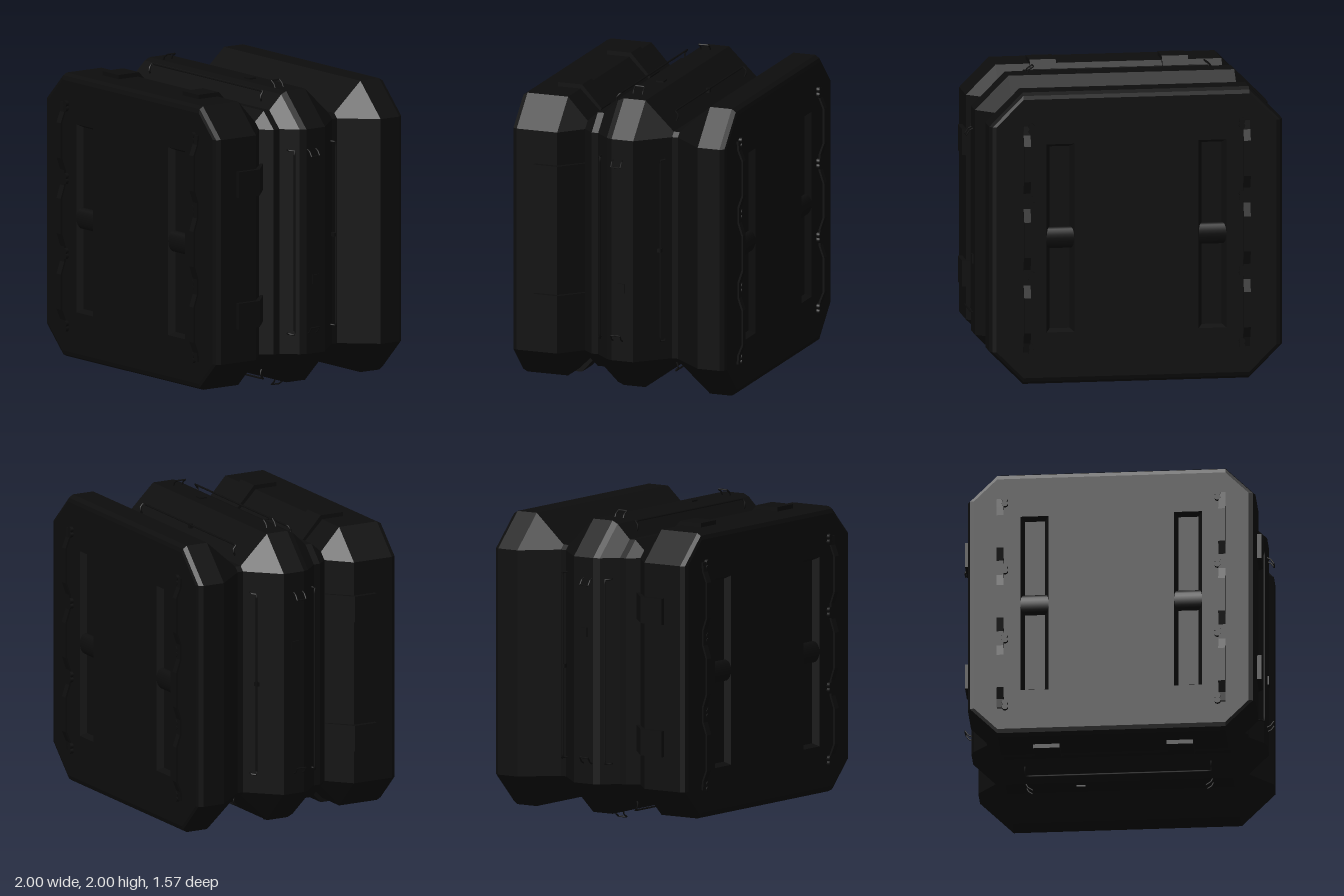
import * as THREE from 'three';

const C = 0.735; // where the cut corners of the octagon begin

const octagon = (r) => [[r, -C], [r, C], [C, r], [-C, r], [-r, C], [-r, -C], [-C, -r], [C, -r]];
const rectangle = (cx, hx, hy) => [[cx - hx, -hy], [cx + hx, -hy], [cx + hx, hy], [cx - hx, hy]];

// Flat-shaded skin through rings of { z, pts }, counter-clockwise seen from +z
function loft(rings) {
  const pos = [];
  for (let i = 0; i < rings.length - 1; i++) {
    const A = rings[i], B = rings[i + 1], n = A.pts.length;
    for (let j = 0; j < n; j++) {
      const k = (j + 1) % n;
      const a = [...A.pts[j], A.z], b = [...A.pts[k], A.z];
      const c = [...B.pts[k], B.z], d = [...B.pts[j], B.z];
      pos.push(...a, ...b, ...c, ...a, ...c, ...d);
    }
  }
  const g = new THREE.BufferGeometry();
  g.setAttribute('position', new THREE.Float32BufferAttribute(pos, 3));
  g.computeVertexNormals();
  return g;
}

// Profile given as [z, y], extruded along x and centred on x = 0
function extrudeX(pts, width) {
  const shape = new THREE.Shape(pts.map(([z, y]) => new THREE.Vector2(z, y)));
  const g = new THREE.ExtrudeGeometry(shape, { depth: width, bevelEnabled: false });
  return g.translate(0, 0, -width / 2).rotateY(-Math.PI / 2);
}

// Thin bent wire through [x, y, z] points
function wire(pts, radius) {
  const path = new THREE.CurvePath();
  const v = pts.map((p) => new THREE.Vector3(...p));
  for (let i = 0; i < v.length - 1; i++) path.add(new THREE.LineCurve3(v[i], v[i + 1]));
  return new THREE.TubeGeometry(path, 48, radius, 6);
}

export function createModel() {
  const black = new THREE.MeshStandardMaterial({ color: 0x0d0d0d });
  black.name = 'black';

  const model = new THREE.Group();
  model.name = 'crate';
  const centre = new THREE.Group();
  centre.name = 'crateParts';
  centre.position.y = 1;
  model.add(centre);

  const add = (parent, name, geometry, x = 0, y = 0, z = 0) => {
    const m = new THREE.Mesh(geometry, black);
    m.name = name;
    m.position.set(x, y, z);
    parent.add(m);
    return m;
  };

  // Ribbed body: [z, half size] from back to front
  const profile = [
    [-0.74, 0.91], [-0.733, 0.935], [-0.705, 0.953], [-0.555, 0.953], [-0.345, 0.765],
    [-0.305, 0.765], [-0.11, 0.953], [0.04, 0.953], [0.08, 0.935], [0.175, 0.843],
    [0.22, 0.843], [0.29, 0.78], [0.425, 0.927], [0.705, 0.927], [0.733, 0.912], [0.74, 0.885],
  ];
  add(centre, 'body', loft(profile.map(([z, r]) => ({ z, pts: octagon(r) }))));

  // Front and back ends with pockets, grips and side straps
  const strapPath = [
    [0.752, 0.74], [0.757, 0.68], [0.785, 0.61], [0.785, 0.38], [0.757, 0.3], [0.757, 0.2],
    [0.785, 0.115], [0.785, -0.115], [0.757, -0.2], [0.757, -0.3], [0.785, -0.38],
    [0.785, -0.61], [0.757, -0.68], [0.752, -0.74],
  ];
  const strapOutline = [...strapPath, ...strapPath.map(([z, y]) => [z - 0.013, y]).reverse()];

  function addEnd(name, r, angle) {
    const end = new THREE.Group();
    end.name = name;
    end.rotation.y = angle;
    centre.add(end);

    const face = new THREE.Shape(octagon(r).map((p) => new THREE.Vector2(...p)));
    for (const s of [-1, 1]) {
      const mouth = rectangle(s * 0.495, 0.09, 0.615);
      face.holes.push(new THREE.Path(mouth.map((p) => new THREE.Vector2(...p))));
      add(end, 'pocketWalls', loft([
        { z: 0.74, pts: mouth },
        { z: 0.7, pts: rectangle(s * 0.495, 0.065, 0.595) },
      ]));
      add(end, 'pocketFloor', new THREE.PlaneGeometry(0.13, 1.19), s * 0.495, 0, 0.7);
      const grip = new THREE.CylinderGeometry(0.07, 0.07, 0.19, 20).rotateZ(Math.PI / 2);
      add(end, 'pocketGrip', grip, s * 0.495, 0, 0.705).scale.z = 0.5;

      add(end, 'strap', extrudeX(strapOutline, 0.045), s * 0.715);
      // Paired studs holding the strap
      for (const y of [-0.72, -0.245, 0.245, 0.72]) {
        for (const dy of [-0.016, 0.016]) {
          const stud = new THREE.CylinderGeometry(0.02, 0.02, 0.025, 12).rotateX(Math.PI / 2);
          add(end, 'strapStud', stud, s * 0.685, y + dy, 0.748);
        }
      }
    }
    add(end, 'endFace', new THREE.ShapeGeometry(face), 0, 0, 0.74);
  }
  addEnd('frontEnd', 0.885, 0);
  addEnd('backEnd', 0.91, Math.PI);

  // Fittings, repeated on top, left, bottom and right
  const platePts = [
    [0.58, 0.92], [0.58, 0.955], [0.415, 0.955], [0.28, 0.808], [0.288, 0.79], [0.42, 0.92],
  ];
  const rail = (base, apex, tip) => {
    const h = 0.6;
    return wire([
      [-h, ...base], [-h, ...apex], [-h, ...tip],
      [h, ...tip], [h, ...apex], [h, ...base],
    ], 0.006);
  };

  for (let i = 0; i < 4; i++) {
    const side = new THREE.Group();
    side.name = ['topFittings', 'rightFittings', 'bottomFittings', 'leftFittings'][i];
    side.rotation.z = i * Math.PI / 2;
    centre.add(side);

    for (const s of [-1, 1]) {
      add(side, 'clampPlate', extrudeX(platePts, 0.17), s * 0.43);
      // Small curved loop leaning towards the middle
      const a = [s * 0.605, 0.945], b = [s * 0.59, 0.975], c = [s * 0.56, 0.995];
      add(side, 'loop', wire([
        [...a, -0.035], [...b, -0.035], [...c, -0.035],
        [...c, 0.03], [...b, 0.03], [...a, 0.03],
      ], 0.005));
    }

    // Thin rails along the two slopes of the middle rib
    add(side, 'backRail', rail([0.79, -0.265], [0.835, -0.287], [0.865, -0.262]));
    add(side, 'frontRail', rail([0.865, 0.13], [0.905, 0.15], [0.94, 0.125]));
    add(side, 'railClip', new THREE.BoxGeometry(0.025, 0.03, 0.025), 0, 0.855, -0.255);

    // Small latch block on the crest of the rib
    add(side, 'latchBlock', new THREE.BoxGeometry(0.06, 0.02, 0.05), 0.25, 0.953, -0.03);
  }

  return model;
}
